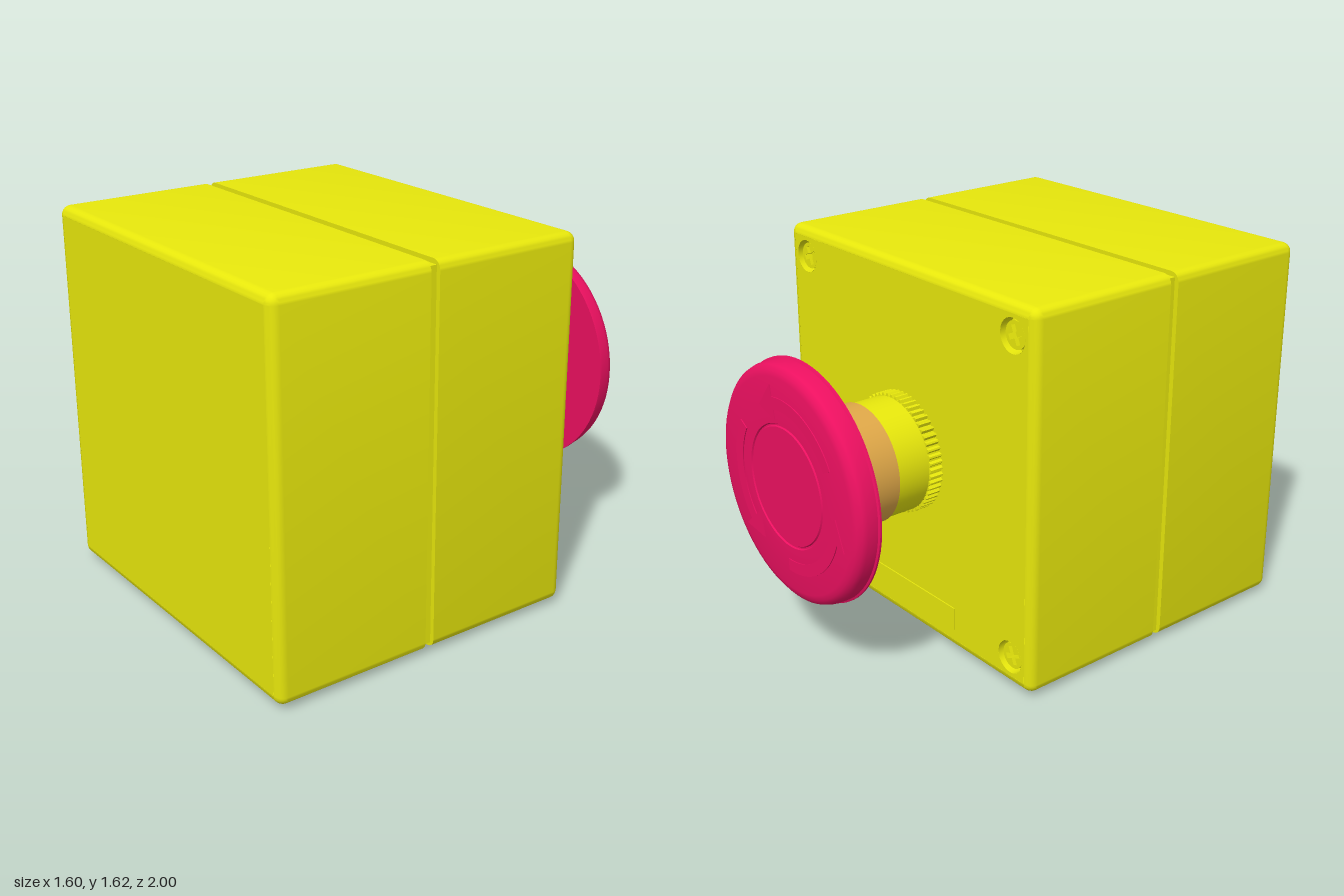
import * as THREE from 'three';
import { toCreasedNormals } from 'three/addons/utils/BufferGeometryUtils.js';

const yellow = new THREE.MeshStandardMaterial({ color: 0xe8e80c, side: THREE.DoubleSide });
const amber = new THREE.MeshStandardMaterial({ color: 0xe0a848, side: THREE.DoubleSide });
const red = new THREE.MeshStandardMaterial({ color: 0xec1060, side: THREE.DoubleSide });

const HALF = 0.8, MID = 0.82, R = 0.04, FLOOR = MID - HALF;
const PORT_Z = 0.635, PORT_R = 0.23;
const SCREW = 0.675, SCREW_R = 0.07;

function add(parent, name, geometry, material, x = 0, y = 0, z = 0) {
  const mesh = new THREE.Mesh(geometry, material);
  mesh.name = name;
  mesh.position.set(x, y, z);
  parent.add(mesh);
  return mesh;
}

// Turned part about the z axis; profile points are [radius, z]
function turned(profile, segments = 64) {
  const points = profile.map(([r, z]) => new THREE.Vector2(r, z));
  const g = new THREE.LatheGeometry(points, segments).rotateX(Math.PI / 2);
  return toCreasedNormals(g, 0.6);
}

function rectangle(x0, y0, x1, y1) {
  return new THREE.Shape([[x0, y0], [x1, y0], [x1, y1], [x0, y1]].map(p => new THREE.Vector2(...p)));
}

function circleHole(x, y, r) {
  return new THREE.Path().absarc(x, y, r, 0, Math.PI * 2, true);
}

function flatExtrude(shape, depth, curveSegments = 16) {
  return new THREE.ExtrudeGeometry(shape, { depth, bevelEnabled: false, curveSegments });
}

// Rounded-square outline, drawn in by "inset"
function outline(inset, steps = 6) {
  const points = [], radius = Math.max(R - inset, 0.0005), c = HALF - R;
  for (let k = 0; k < 4; k++) {
    const sx = k === 0 || k === 3 ? 1 : -1, sy = k < 2 ? 1 : -1;
    for (let i = 0; i <= steps; i++) {
      const a = (k + i / steps) * Math.PI / 2;
      points.push([sx * c + radius * Math.cos(a), sy * c + radius * Math.sin(a)]);
    }
  }
  return points;
}

// Walls of a half case running from z0 to z1, rounded at the z1 end
function shellWalls(z0, z1, openBottom) {
  const steps = 6, sections = [[z0, 0]], positions = [], index = [];
  for (let i = 0; i <= steps; i++) {
    const a = i / steps * Math.PI / 2;
    sections.push([z1 - R + R * Math.sin(a), R * (1 - Math.cos(a))]);
  }
  const n = outline(0).length, bottomEdge = 3 * (steps + 1) - 1;
  for (const [z, inset] of sections)
    for (const [x, y] of outline(inset)) positions.push(x, y, z);
  for (let i = 0; i < sections.length - 1; i++) {
    for (let j = 0; j < n; j++) {
      if (openBottom && i === 0 && j === bottomEdge) continue;
      const a = i * n + j, b = i * n + (j + 1) % n;
      index.push(a, b, b + n, a, b + n, a + n);
    }
  }
  const g = new THREE.BufferGeometry();
  g.setAttribute('position', new THREE.Float32BufferAttribute(positions, 3));
  g.setIndex(index);
  return toCreasedNormals(g, 0.6);
}

function makeCaseHalf(name, z0, z1, openBottom, holes = []) {
  const group = new THREE.Group();
  group.name = name;
  add(group, name + 'Walls', shellWalls(z0, z1, openBottom), yellow);
  const c = HALF - R, face = rectangle(-c, -c, c, c);
  face.holes.push(...holes);
  add(group, name + 'Face', new THREE.ShapeGeometry(face, 24), yellow, 0, 0, z1);
  const joint = new THREE.Shape(outline(0).map(p => new THREE.Vector2(...p)));
  add(group, name + 'JointFace', new THREE.ShapeGeometry(joint).rotateY(Math.PI), yellow, 0, 0, z0);
  group.position.y = MID;
  return group;
}

// Sunken screw with a cross slot, facing +z
function makeScrew() {
  const group = new THREE.Group();
  group.name = 'screw';
  add(group, 'screwWell', turned([[SCREW_R, 0], [SCREW_R, -0.05], [0, -0.05]], 24), yellow);
  const head = new THREE.Shape().absarc(0, 0, 0.056, 0, Math.PI * 2);
  const cross = [], w = 0.011, l = 0.04;
  for (let k = 0; k < 4; k++) {
    const a = k * Math.PI / 2;
    for (const [x, y] of [[l, -w], [l, w], [w, w]])
      cross.push(new THREE.Vector2(x, y).rotateAround(new THREE.Vector2(), a + 0.4));
  }
  head.holes.push(new THREE.Path(cross));
  add(group, 'screwHead', flatExtrude(head, 0.035), yellow, 0, 0, -0.05);
  return group;
}

// Curved arrow running counterclockwise, its tip at the angle "tip"
function arrowShape(tip) {
  const neck = tip - 0.3, tail = neck - 1.25, inner = 0.315, outer = 0.365;
  const at = (r, a) => [r * Math.cos(a), r * Math.sin(a)];
  const s = new THREE.Shape();
  s.moveTo(...at(outer, tail));
  s.absarc(0, 0, outer, tail, neck, false);
  s.lineTo(...at(0.415, neck));
  s.lineTo(...at(0.34, tip));
  s.lineTo(...at(0.27, neck));
  s.lineTo(...at(inner, neck));
  s.absarc(0, 0, inner, neck, tail, true);
  return s;
}

// Knurled collar outline
function knurl(teeth, low, high) {
  const points = [];
  for (let i = 0; i < teeth * 4; i++) {
    const r = i % 4 < 2 ? high : low, a = i / (teeth * 4) * Math.PI * 2;
    points.push(new THREE.Vector2(r * Math.cos(a), r * Math.sin(a)));
  }
  return new THREE.Shape(points);
}

function makeButton() {
  const group = new THREE.Group();
  group.name = 'pushButton';
  add(group, 'collar', flatExtrude(knurl(56, 0.244, 0.256), 0.06), yellow, 0, 0, 0.42);
  add(group, 'stem', turned([[0.243, 0.42], [0.243, 0.64]]), yellow);
  add(group, 'sleeve', turned([[0.2, 0.63], [0.251, 0.63], [0.251, 0.905]]), amber);
  add(group, 'mushroomHead', turned([[0, 0.9], [0.504, 0.9], [0.504, 0.908], [0.496, 0.912],
    [0.494, 0.955], [0.487, 0.975], [0.468, 0.99], [0.445, 0.996], [0.258, 0.996],
    [0.254, 0.99], [0.248, 0.99], [0.244, 0.996], [0, 0.996]], 80), red);
  for (let k = 0; k < 3; k++) {
    const arrow = arrowShape(THREE.MathUtils.degToRad(118 + 120 * k));
    add(group, 'turnArrow', flatExtrude(arrow, 0.005, 20), red, 0, 0, 0.995);
  }
  group.position.y = MID;
  return group;
}

export function createModel() {
  const model = new THREE.Group();
  model.name = 'emergencyStopBox';

  // Case base with a cable port in its underside
  model.add(makeCaseHalf('base', 0.31, 1, true));
  const under = rectangle(-HALF + R, 0.31, HALF - R, 1 - R);
  under.holes.push(circleHole(0, PORT_Z, PORT_R));
  add(model, 'baseUnderside', new THREE.ShapeGeometry(under, 32).rotateX(Math.PI / 2), yellow, 0, FLOOR, 0);
  const ring = turned([[PORT_R, 0.02], [PORT_R, 0], [0.275, 0], [0.275, 0.02]], 48).rotateX(-Math.PI / 2);
  add(model, 'portRing', ring, yellow, 0, 0, PORT_Z);
  const well = turned([[PORT_R, 0], [PORT_R, 0.07], [0, 0.07]], 48).rotateX(-Math.PI / 2);
  add(model, 'portWell', well, yellow, 0, FLOOR, PORT_Z);

  // Seal in the gap between base and lid
  add(model, 'seal', new THREE.BoxGeometry(1.56, 1.56, 0.05), yellow, 0, MID, 0.29);

  // Lid side, built facing +z and turned to the back
  const back = new THREE.Group();
  back.name = 'lidAssembly';
  back.rotation.y = Math.PI;
  const corners = [[1, 1], [-1, 1], [-1, -1], [1, -1]].map(([x, y]) => [x * SCREW, y * SCREW]);
  back.add(makeCaseHalf('lid', -0.27, 0.42, false, corners.map(([x, y]) => circleHole(x, y, SCREW_R))));
  for (const [x, y] of corners) {
    const screw = makeScrew();
    screw.position.set(x, MID + y, 0.42);
    back.add(screw);
  }
  add(back, 'labelPlate', new THREE.BoxGeometry(0.65, 0.1, 0.01), yellow, 0, 0.16, 0.42);
  back.add(makeButton());
  model.add(back);
  return model;
}
